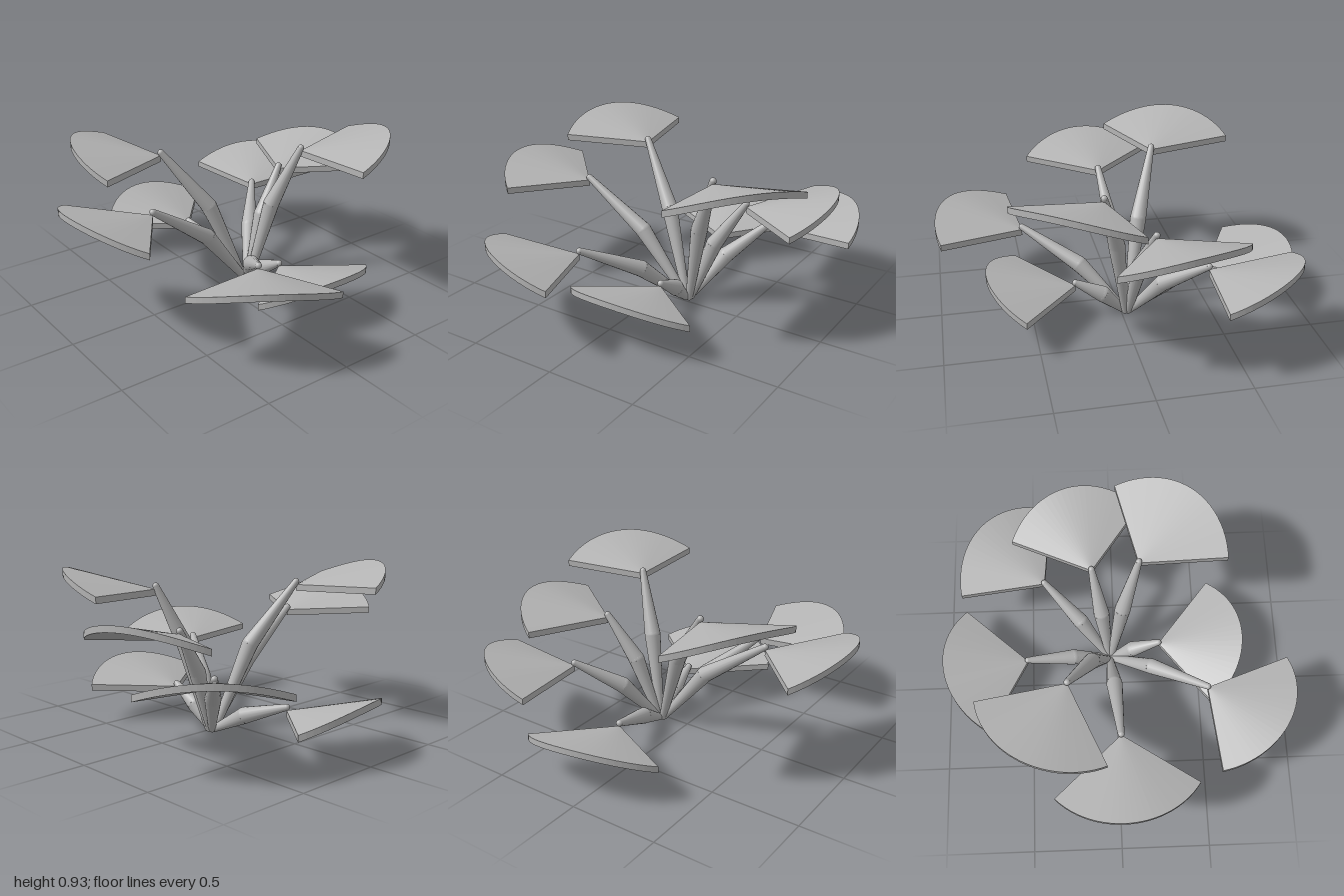
import * as THREE from 'three';

const RADIUS = 0.485, HALF = 0.9, THICK = 0.035, SEGMENTS = 24;
const BASE = new THREE.Vector3(-0.03, 0.02, -0.165);

// Apex x, apex z, underside height at the apex, heading in degrees (from +x towards +z)
const LEAVES = [
  [-0.40, -0.49, 0.37, 223.4],
  [-0.12, -0.47, 0.57, 254.5],
  [0.14, -0.41, 0.77, 307.8],
  [0.26, -0.17, 0.17, 1],
  [0.51, 0.18, 0.37, 32.8],
  [0.01, 0.49, 0.57, 85.5],
  [-0.26, 0.26, 0.77, 118],
  [-0.515, -0.085, 0.17, 169.8],
];

// Fan-shaped slab, arched along its rim, with its apex at the origin
function fanGeometry() {
  const pos = [];
  const tri = (...pts) => pts.forEach((p) => pos.push(...p));
  const quad = (a, b, c, d) => { tri(a, b, c); tri(a, c, d); };
  const rim = (i, lift) => {
    const t = (i / SEGMENTS) * 2 - 1, a = t * HALF;
    const y = 0.02 + 0.1 * Math.cos((t * Math.PI) / 2);
    return [RADIUS * Math.cos(a), y + lift, RADIUS * Math.sin(a)];
  };
  const top = [0, THICK, 0], bottom = [0, 0, 0];
  for (let i = 0; i < SEGMENTS; i++) {
    const t0 = rim(i, THICK), t1 = rim(i + 1, THICK);
    const b0 = rim(i, 0), b1 = rim(i + 1, 0);
    tri(top, t1, t0);
    tri(bottom, b0, b1);
    quad(t0, t1, b1, b0);
  }
  quad(top, rim(0, THICK), rim(0, 0), bottom);
  quad(rim(SEGMENTS, THICK), top, bottom, rim(SEGMENTS, 0));
  const geo = new THREE.BufferGeometry();
  geo.setAttribute('position', new THREE.Float32BufferAttribute(pos, 3));
  geo.computeVertexNormals();
  return geo;
}

// Tapered rod between two points
function rod(from, to, r0, r1, material, name) {
  const dir = to.clone().sub(from);
  const mesh = new THREE.Mesh(new THREE.CylinderGeometry(r1, r0, dir.length(), 16), material);
  mesh.position.copy(from).add(to).multiplyScalar(0.5);
  mesh.quaternion.setFromUnitVectors(new THREE.Vector3(0, 1, 0), dir.normalize());
  mesh.name = name;
  return mesh;
}

function ball(at, r, material, name) {
  const mesh = new THREE.Mesh(new THREE.SphereGeometry(r, 16, 10), material);
  mesh.position.copy(at);
  mesh.name = name;
  return mesh;
}

export function createModel() {
  const group = new THREE.Group();
  group.name = 'fanLeafPlant';
  const grey = new THREE.MeshStandardMaterial({ color: 0xb4b4b4 });
  grey.name = 'plantGrey';
  const fan = fanGeometry();

  for (const [x, z, y, heading] of LEAVES) {
    const stem = new THREE.Group();
    stem.name = 'leafStem';

    // Fan leaf
    const leaf = new THREE.Mesh(fan, grey);
    leaf.name = 'fanLeaf';
    leaf.position.set(x, y, z);
    leaf.rotation.y = -THREE.MathUtils.degToRad(heading);

    // Bent stalk: thin at the root and tip, thickest at the knee
    const tip = new THREE.Vector3(x, y + 0.052, z);
    const out = tip.clone().sub(BASE).setY(0).normalize();
    const root = BASE.clone().addScaledVector(out, 0.02);
    const knee = root.clone().lerp(tip, 0.43);
    knee.y = tip.y * 0.59;
    stem.add(
      leaf,
      ball(root, 0.02, grey, 'stalkRoot'),
      rod(root, knee, 0.02, 0.046, grey, 'lowerStalk'),
      ball(knee, 0.046, grey, 'stalkKnee'),
      rod(knee, tip, 0.046, 0.018, grey, 'upperStalk'),
      ball(tip, 0.018, grey, 'stalkTip'),
    );
    group.add(stem);
  }
  return group;
}
